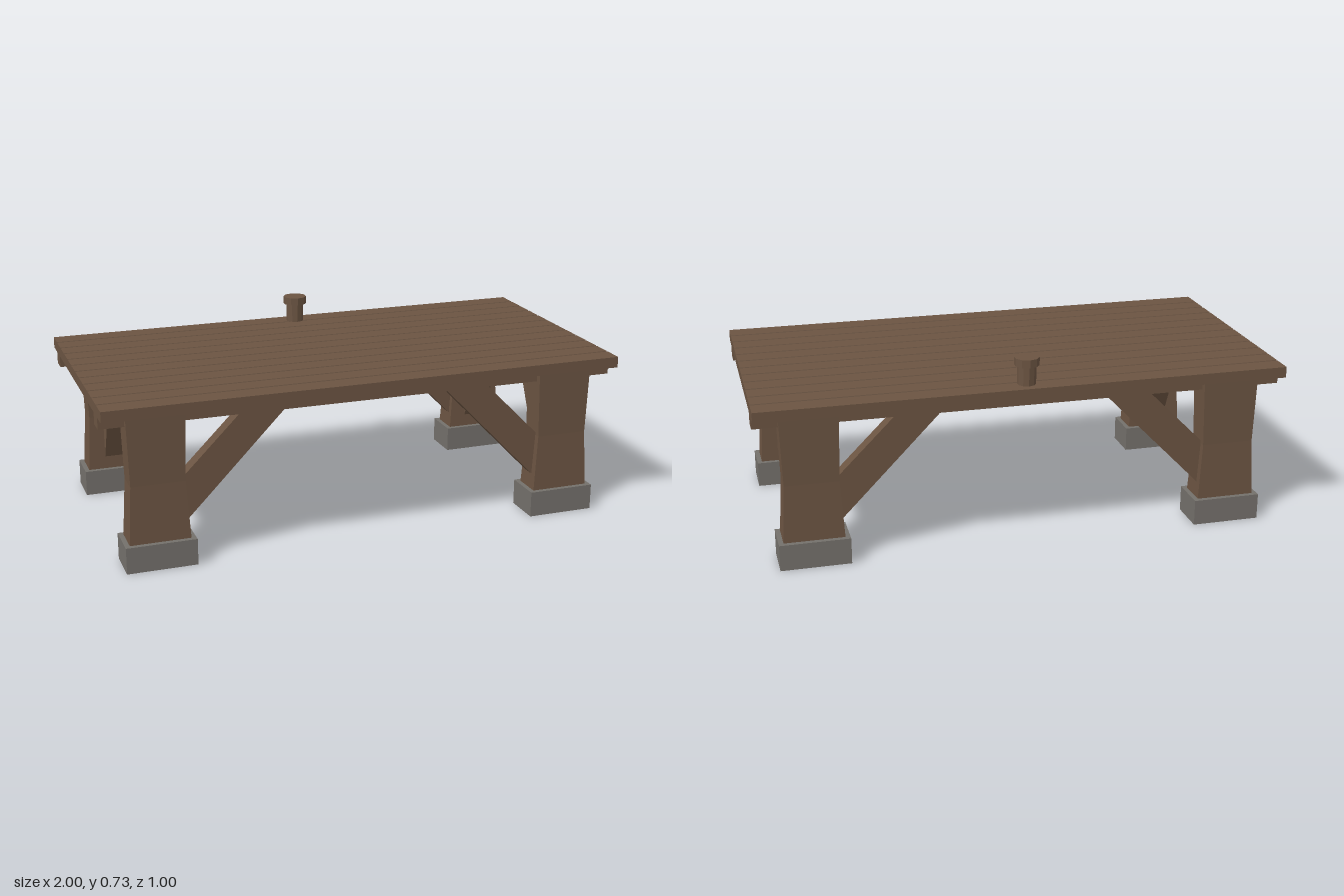
import * as THREE from 'three';

const wood = new THREE.MeshStandardMaterial({ name: 'brown wood', color: 0x6b5442, flatShading: true });
const stone = new THREE.MeshStandardMaterial({ name: 'grey stone', color: 0x74706b, flatShading: true });

const TOP = 0.627, DECK = 0.585, BEAM = 0.54, FOOT = 0.1;
const LEG_X = 0.8, LEG_Z = 0.4;

function add(parent, name, geometry, material, x = 0, y = 0, z = 0) {
  const mesh = new THREE.Mesh(geometry, material);
  mesh.name = name;
  mesh.position.set(x, y, z);
  parent.add(mesh);
  return mesh;
}

// Extrude an outline of [x, y] points, centred on its depth
function slab(points, depth) {
  const shape = new THREE.Shape(points.map(([x, y]) => new THREE.Vector2(x, y)));
  return new THREE.ExtrudeGeometry(shape, { depth, bevelEnabled: false }).translate(0, 0, -depth / 2);
}

// Deck section with shallow grooves between twelve planks
function deckGeometry() {
  const points = [[-0.5, DECK], [0.5, DECK], [0.5, TOP]];
  for (let i = 11; i > 0; i--) {
    const z = -0.5 + i / 12;
    points.push([z + 0.005, TOP], [z + 0.003, TOP - 0.006], [z - 0.003, TOP - 0.006], [z - 0.005, TOP]);
  }
  points.push([-0.5, TOP]);
  return slab(points, 2).rotateY(Math.PI / 2);
}

// Square post, slightly narrower at the waist
function postGeometry() {
  const g = new THREE.BoxGeometry(1, 2, 1, 1, 2, 1);
  const sections = [[FOOT, 0.226, 0.112], [0.32, 0.2, 0.1], [DECK, 0.216, 0.106]];
  const p = g.attributes.position;
  for (let i = 0; i < p.count; i++) {
    const [y, w, d] = sections[Math.round(p.getY(i)) + 1];
    p.setXYZ(i, p.getX(i) * w, y, p.getZ(i) * d);
  }
  g.computeVertexNormals();
  return g;
}

// Braces are drawn leaning inwards towards +x, then turned into place
const longBrace = slab([[-0.71, 0.14], [-0.3, 0.56], [-0.47, 0.56], [-0.71, 0.32]], 0.055);
const crossBrace = slab([[-0.36, 0.12], [-0.135, DECK], [-0.225, DECK], [-0.36, 0.295]], 0.09);

export function createModel() {
  const model = new THREE.Group();
  model.name = 'woodenJetty';

  add(model, 'plankDeck', deckGeometry(), wood);
  for (const sz of [-1, 1]) {
    add(model, 'longBeam', new THREE.BoxGeometry(2, DECK - BEAM, 0.065), wood, 0, (DECK + BEAM) / 2, sz * 0.397);
  }

  // Four legs, each with a footing, post and two braces
  const post = postGeometry();
  const footing = new THREE.BoxGeometry(0.262, FOOT, 0.149);
  for (const sx of [-1, 1]) {
    for (const sz of [-1, 1]) {
      const leg = new THREE.Group();
      leg.name = (sz > 0 ? 'front' : 'back') + (sx > 0 ? 'Left' : 'Right') + 'Leg';
      add(leg, 'footing', footing, stone, sx * LEG_X, FOOT / 2, sz * LEG_Z);
      add(leg, 'post', post, wood, sx * LEG_X, 0, sz * LEG_Z);
      add(leg, 'longBrace', longBrace, wood, 0, 0, sz * 0.397).rotation.y = sx > 0 ? Math.PI : 0;
      add(leg, 'crossBrace', crossBrace, wood, sx * LEG_X).rotation.y = sz * Math.PI / 2;
      model.add(leg);
    }
  }

  // Mooring bollard at the back edge
  const bollard = new THREE.Group();
  bollard.name = 'bollard';
  add(bollard, 'bollardShaft', new THREE.CylinderGeometry(0.035, 0.035, 0.08, 10), wood, 0, 0.662, 0);
  add(bollard, 'bollardCap', new THREE.CylinderGeometry(0.047, 0.047, 0.03, 10), wood, 0, 0.715, 0);
  bollard.position.z = -0.436;
  model.add(bollard);

  return model;
}
